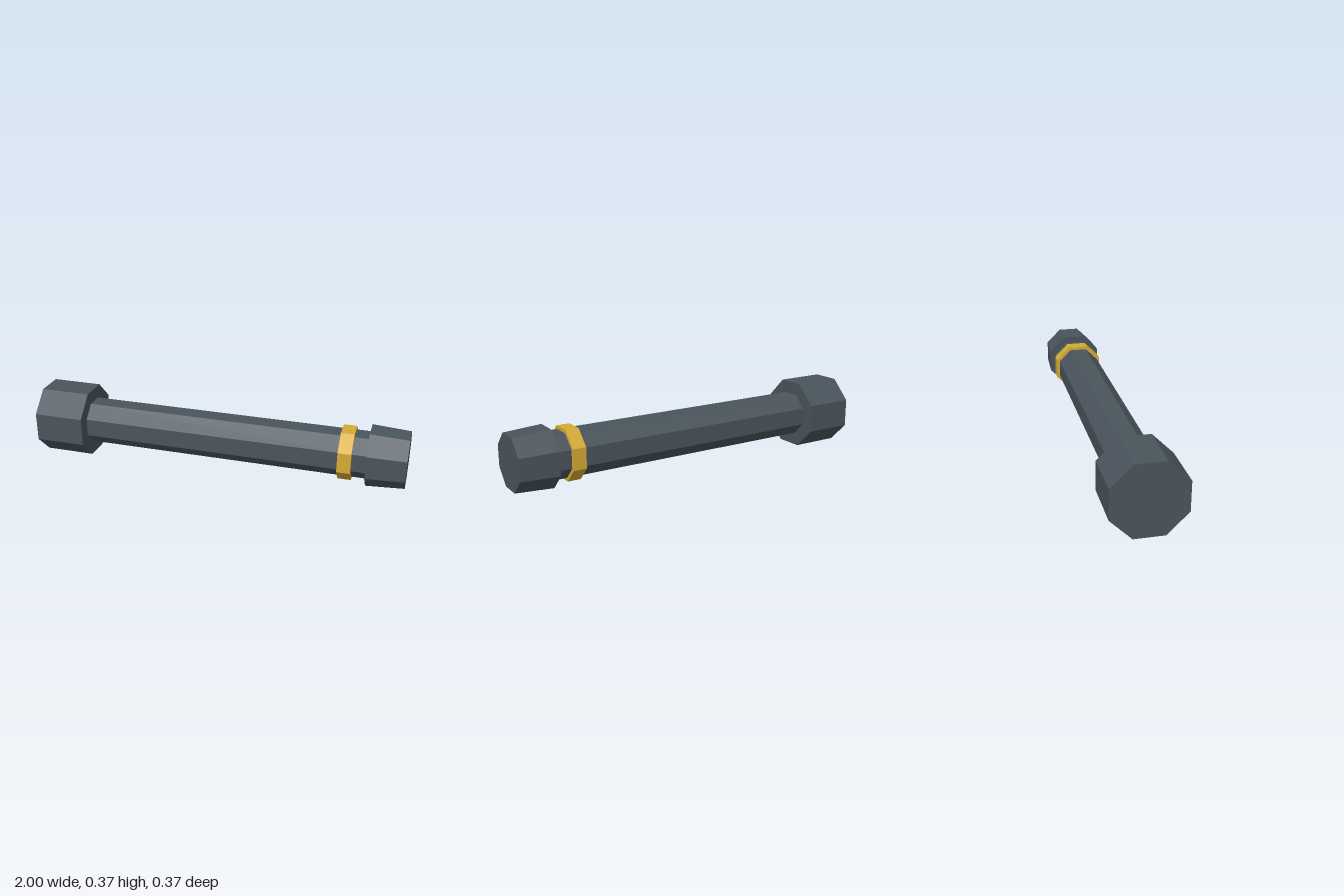
import * as THREE from 'three';

const SIDES = 8;
const AXIS_Y = 0.183;

export function createModel() {
  const model = new THREE.Group();
  model.name = 'octagonalRod';

  const steel = new THREE.MeshStandardMaterial({ color: 0x4a545c, flatShading: true });
  steel.name = 'dark steel';
  const gold = new THREE.MeshStandardMaterial({ color: 0xd4aa35, flatShading: true });
  gold.name = 'gold';

  // Octagonal prism lying along x, flat side up; a0 and a1 are centre-to-flat distances at each end
  function addPrism(name, x0, x1, a0, a1, material) {
    const k = 1 / Math.cos(Math.PI / SIDES);
    const geometry = new THREE.CylinderGeometry(a1 * k, a0 * k, x1 - x0, SIDES);
    geometry.rotateY(Math.PI / SIDES);
    geometry.rotateZ(-Math.PI / 2);
    const mesh = new THREE.Mesh(geometry, material);
    mesh.name = name;
    mesh.position.set((x0 + x1) / 2, AXIS_Y, 0);
    model.add(mesh);
  }

  addPrism('head', -1, -0.73, 0.183, 0.183, steel);
  addPrism('shaft', -0.74, 0.81, 0.114, 0.114, steel);
  addPrism('goldRing', 0.655, 0.725, 0.131, 0.131, gold);
  addPrism('taperedCap', 0.8, 1, 0.148, 0.137, steel);

  return model;
}
